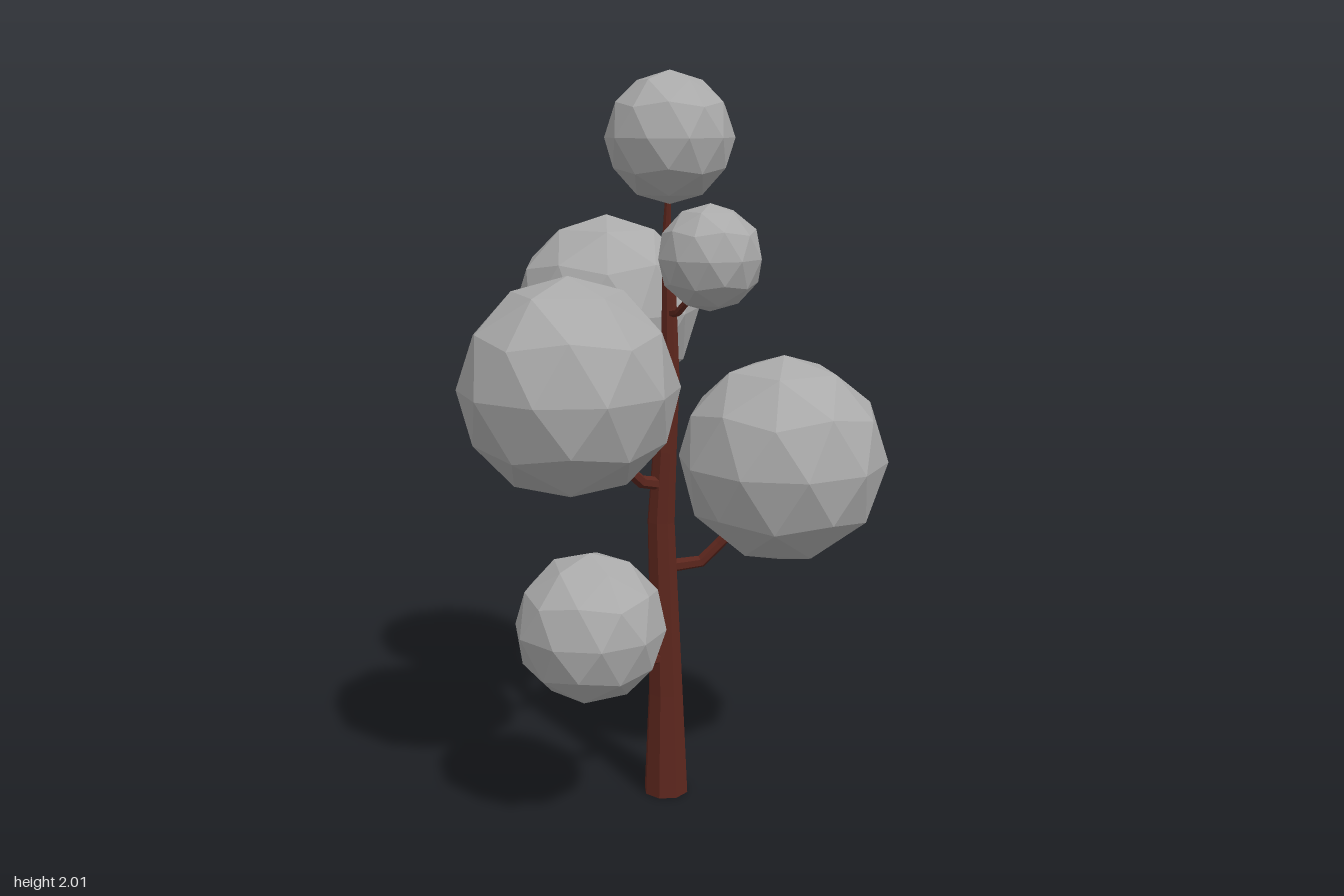
import * as THREE from 'three';

// Tapered, capped tube with one ring per point [x, y, z, radius]
function taperedTube(points, sides, ref) {
  const curve = new THREE.CatmullRomCurve3(points.map(p => new THREE.Vector3(p[0], p[1], p[2])));
  const pos = [], index = [], last = points.length - 1;
  points.forEach((p, i) => {
    const t = curve.getTangent(i / last);
    const a = new THREE.Vector3().crossVectors(t, ref).normalize();
    const b = new THREE.Vector3().crossVectors(t, a);
    for (let j = 0; j < sides; j++) {
      const w = ((j + 0.5) / sides) * Math.PI * 2;
      const c = Math.cos(w) * p[3], s = Math.sin(w) * p[3];
      pos.push(p[0] + a.x * c + b.x * s, p[1] + a.y * c + b.y * s, p[2] + a.z * c + b.z * s);
    }
  });
  for (let i = 0; i < last; i++) {
    for (let j = 0; j < sides; j++) {
      const k = (j + 1) % sides, r = i * sides;
      index.push(r + j, r + k, r + sides + k, r + j, r + sides + k, r + sides + j);
    }
  }
  for (let j = 1; j < sides - 1; j++) {
    const e = last * sides;
    index.push(0, j + 1, j, e, e + j, e + j + 1);
  }
  const g = new THREE.BufferGeometry();
  g.setAttribute('position', new THREE.Float32BufferAttribute(pos, 3));
  g.setIndex(index);
  const flat = g.toNonIndexed();
  flat.computeVertexNormals();
  return flat;
}

export function createModel() {
  const tree = new THREE.Group();
  tree.name = 'tree';
  const bark = new THREE.MeshStandardMaterial({ name: 'bark brown', color: 0x5c261d, flatShading: true });
  const leaf = new THREE.MeshStandardMaterial({ name: 'foliage grey', color: 0xaaaaaa, flatShading: true });

  const add = (name, geometry, material) => {
    const mesh = new THREE.Mesh(geometry, material);
    mesh.name = name;
    tree.add(mesh);
    return mesh;
  };

  // Trunk, gently bent and thinning to the crown
  add('trunk', taperedTube([
    [-0.03, 0, 0.043, 0.064],
    [-0.03, 0.3, 0.04, 0.05],
    [-0.036, 0.6, 0.036, 0.042],
    [-0.042, 0.8, 0.036, 0.039],
    [-0.032, 1.0, 0.04, 0.034],
    [-0.018, 1.2, 0.043, 0.027],
    [-0.02, 1.42, 0.045, 0.02],
    [-0.026, 1.6, 0.041, 0.011],
    [-0.022, 1.7, 0.05, 0.008],
    [-0.02, 1.8, 0.06, 0.006],
  ], 8, new THREE.Vector3(0, 0, 1)), bark);

  // Branches: leave the trunk sideways, then bend up into their foliage
  const up = new THREE.Vector3(0, 1, 0);
  const branches = {
    lowBranch: [0.019, [-0.03, 0.405, 0.04], [-0.09, 0.42, 0.105], [-0.13, 0.47, 0.155], [-0.19, 0.53, 0.22]],
    leftBranch: [0.019, [-0.01, 0.67, 0.035], [0.07, 0.68, 0.035], [0.12, 0.73, 0.037], [0.2, 0.82, 0.045]],
    rightBranch: [0.019, [-0.03, 0.905, 0.04], [-0.1, 0.925, 0.085], [-0.15, 0.98, 0.125], [-0.21, 1.06, 0.17]],
    backBranch: [0.016, [-0.03, 1.07, 0.035], [-0.05, 1.1, -0.03], [-0.085, 1.17, -0.1], [-0.13, 1.26, -0.18]],
    highBranch: [0.012, [-0.02, 1.375, 0.045], [0.0, 1.385, 0.09], [0.025, 1.425, 0.13], [0.05, 1.48, 0.17]],
  };
  for (const [name, [r, ...pts]] of Object.entries(branches)) {
    add(name, taperedTube(pts.map((p, i) => [...p, r * (1 - 0.08 * i)]), 6, up), bark);
  }

  // Faceted foliage balls: x, y, z, radius, turn
  const balls = {
    topFoliage: [-0.02, 1.835, 0.063, 0.17, 0.2],
    highFoliage: [0.07, 1.538, 0.204, 0.137, 0.5],
    backFoliage: [-0.17, 1.353, -0.263, 0.265, 0.9],
    rightFoliage: [-0.294, 1.214, 0.243, 0.286, 0.3],
    leftFoliage: [0.29, 0.974, 0.06, 0.287, 0.7],
    lowFoliage: [-0.249, 0.59, 0.289, 0.2, 0.1],
  };
  const tilt = -Math.atan(2 / (1 + Math.sqrt(5)));
  for (const [name, [x, y, z, r, turn]] of Object.entries(balls)) {
    const ball = new THREE.IcosahedronGeometry(r, 1).rotateZ(tilt).rotateY(turn);
    add(name, ball, leaf).position.set(x, y, z);
  }
  return tree;
}
